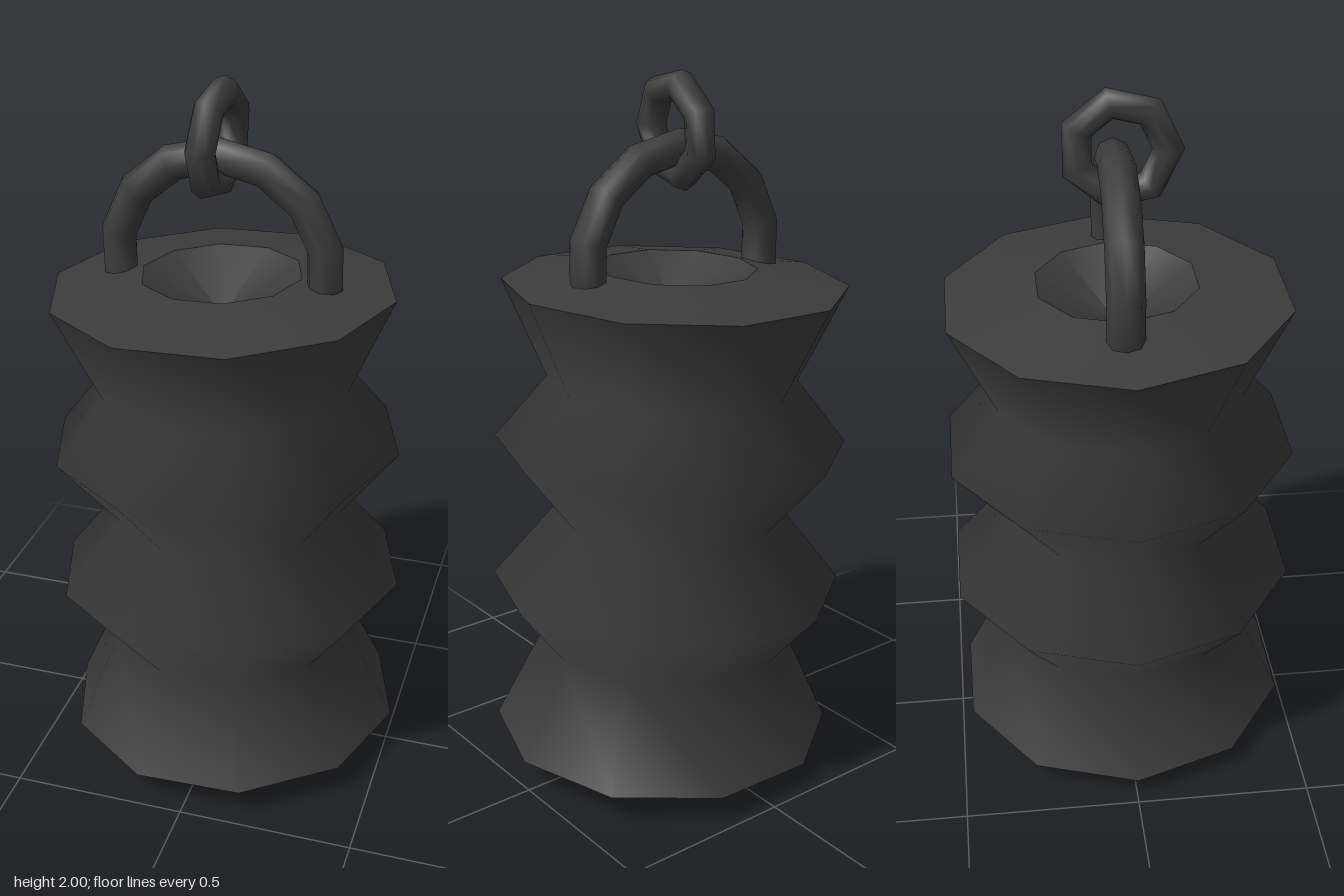
import * as THREE from 'three';

export function createModel() {
  const model = new THREE.Group();
  model.name = 'ribbedWeight';
  const material = new THREE.MeshStandardMaterial({ color: 0x3c3c3c, side: THREE.DoubleSide });

  const add = (name, geometry, parent) => {
    const mesh = new THREE.Mesh(geometry, material);
    mesh.name = name;
    parent.add(mesh);
    return mesh;
  };

  // Ten-sided turned section, with corners on the x axis
  const turned = (points) => new THREE.LatheGeometry(
    points.map(([r, y]) => new THREE.Vector2(r, y)), 10, Math.PI / 2);

  // Slightly leaning body; each section keeps its rim sharp
  const body = new THREE.Group();
  body.name = 'body';
  body.position.set(0.0175, 0, 0.003);
  body.rotation.set(-0.011, 0, 0.031);
  model.add(body);

  add('ribbedWall', turned([
    [0.495, 0.08], [0.36, 0.363], [0.505, 0.543], [0.33, 0.757],
    [0.5, 0.968], [0.355, 1.148], [0.483, 1.425],
  ]), body);
  add('pointedBase', turned([[0, 0], [0.495, 0.08]]), body);
  add('topRim', turned([[0.483, 1.425], [0.225, 1.467]]), body);
  add('topHollow', turned([[0.225, 1.467], [0, 1.34]]), body);

  // Arched handle, its feet sunk into the top
  const step = Math.PI / 7;
  const arch = new THREE.TorusGeometry(0.3, 0.05, 8, 8, step * 8);
  arch.rotateZ(-step / 2);
  const handle = add('handle', arch, model);
  handle.position.set(-0.03, 1.495, -0.012);
  handle.rotation.set(0, -0.03, 0.02);

  // Seven-sided link hanging on the handle
  const link = add('chainLink', new THREE.TorusGeometry(0.123, 0.042, 8, 7), model);
  link.position.set(-0.034, 1.84, -0.003);
  link.rotation.set(0, -Math.PI / 2 - 0.08, -0.05, 'ZYX');

  return model;
}
